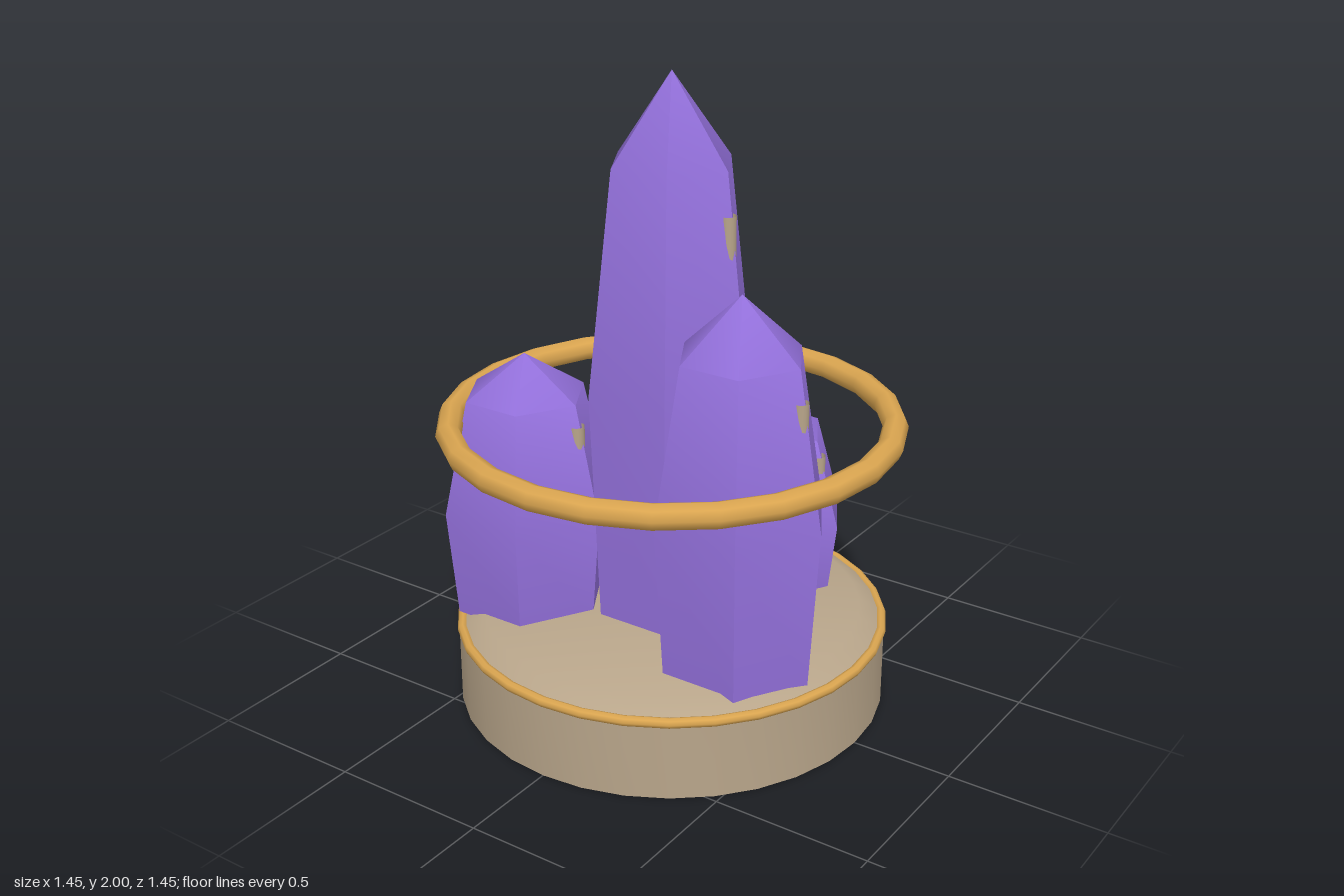
import * as THREE from 'three';
import { toCreasedNormals } from 'three/addons/utils/BufferGeometryUtils.js';

const material = (name, color) => {
  const m = new THREE.MeshStandardMaterial({ color });
  m.name = name;
  return m;
};

// Revolve a profile of [radius, height] pairs, keeping sharp edges sharp
function lathe(profile, sides, start, crease) {
  const points = profile.map(([r, y]) => new THREE.Vector2(r, y));
  return toCreasedNormals(new THREE.LatheGeometry(points, sides, start), crease);
}

export function createModel() {
  const model = new THREE.Group();
  model.name = 'crystalDisplay';
  const stone = material('stone', 0xb8a58a);
  const gold = material('gold', 0xdaa550);
  const purple = material('purple crystal', 0x9370db);
  const chip = material('stone chip', 0xb8a58a);
  chip.side = THREE.DoubleSide;

  const add = (parent, name, geometry, mat, x = 0, y = 0, z = 0) => {
    const mesh = new THREE.Mesh(geometry, mat);
    mesh.name = name;
    mesh.position.set(x, y, z);
    parent.add(mesh);
    return mesh;
  };

  // Round plinth with a bevelled top
  add(model, 'plinth', lathe(
    [[0, 0], [0.68, 0], [0.68, 0.245], [0.65, 0.268], [0.6, 0.294], [0, 0.295]], 32, 0, 0.6), stone);

  // Gold trim around the plinth and the floating ring
  add(model, 'plinthTrim', new THREE.TorusGeometry(0.67, 0.016, 8, 32), gold, 0, 0.25, 0).rotation.x = Math.PI / 2;
  add(model, 'floatingRing', new THREE.TorusGeometry(0.685, 0.04, 8, 24), gold, 0, 0.915, 0).rotation.x = Math.PI / 2;

  // Six-sided crystals: x, z, tip height, chip top, chip height
  const crystals = [
    ['mainCrystal', 0, 0, 2.0, 1.6, 0.14],
    ['leftCrystal', 0.365, 0.184, 1.445, 1.165, 0.09],
    ['rightCrystal', -0.41, 0.204, 1.11, 0.915, 0.07],
    ['backCrystal', 0.122, -0.352, 0.885, 0.745, 0.055],
  ];
  for (const [name, x, z, tip, chipTop, chipHeight] of crystals) {
    const group = new THREE.Group();
    group.name = name;
    group.position.set(x, 0, z);
    model.add(group);
    const belly = 0.094 + 0.47 * tip;
    const shoulder = 0.044 + 0.843 * tip;
    add(group, 'crystalBody', lathe(
      [[0, 0.27], [0.247, 0.27], [0.277, belly], [0.195, shoulder], [0, tip]], 6, Math.PI / 2, 0.82), purple);
    // Curved chip wrapped around the +x edge
    add(group, 'edgeChip', new THREE.CylinderGeometry(0.025, 0.025, chipHeight, 8, 1, true, 0, Math.PI),
      chip, 0.197, chipTop - chipHeight / 2, 0);
  }
  return model;
}
